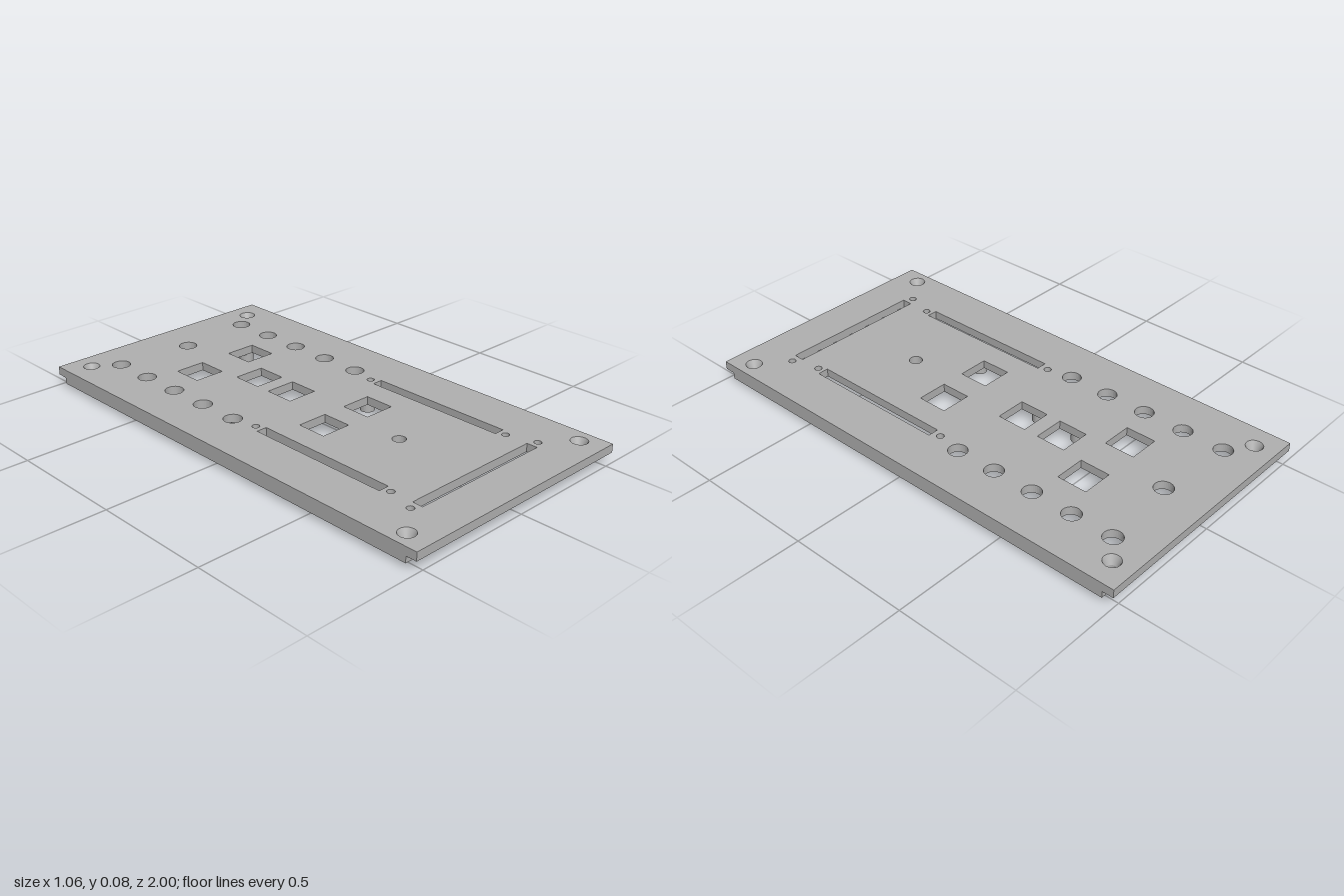
import * as THREE from 'three';

const grey = new THREE.MeshStandardMaterial({ color: 0xb0b0b0 });
grey.name = 'panelGrey';
const greyOpen = grey.clone();
greyOpen.side = THREE.DoubleSide;

const HALF_X = 0.532, TOP = 0.08, UNDER = 0.045, RIM = 0.022;

// Plan outlines use (x, z); z is flipped so the extrusion can be laid flat.
function rect(Type, x, z, w, d) {
  const p = new Type();
  p.moveTo(x - w / 2, -z - d / 2);
  p.lineTo(x + w / 2, -z - d / 2);
  p.lineTo(x + w / 2, -z + d / 2);
  p.lineTo(x - w / 2, -z + d / 2);
  p.closePath();
  return p;
}

function circle(Type, x, z, r) {
  const p = new Type();
  p.absarc(x, -z, r, 0, Math.PI * 2, false);
  return p;
}

// Lay a plan outline flat between two heights
function slab(name, shape, y0, y1) {
  const geo = new THREE.ExtrudeGeometry(shape, { depth: y1 - y0, bevelEnabled: false, curveSegments: 16 });
  geo.rotateX(-Math.PI / 2);
  geo.translate(0, y0, 0);
  const mesh = new THREE.Mesh(geo, grey);
  mesh.name = name;
  return mesh;
}

function ring(name, x, z, outer, inner, y0, y1) {
  const shape = circle(THREE.Shape, x, z, outer);
  shape.holes.push(circle(THREE.Path, x, z, inner));
  return slab(name, shape, y0, y1);
}

export function createModel() {
  const model = new THREE.Group();
  model.name = 'controlPanel';
  const screws = [[-0.43, -0.91], [0.425, -0.91], [-0.468, 0.9], [0.465, 0.9]];

  // Face plate with all its openings
  const plate = rect(THREE.Shape, 0, 0, HALF_X * 2, 2);
  const cutRect = (x, z, w, d) => plate.holes.push(rect(THREE.Path, x, z, w, d));
  const cutCircle = (x, z, r) => plate.holes.push(circle(THREE.Path, x, z, r));

  // Square windows
  [[-0.138, -0.557], [0.137, -0.557], [0, -0.342], [0, -0.15], [-0.118, 0.16], [0.116, 0.16]]
    .forEach(([x, z]) => cutRect(x, z, 0.132, 0.128));

  // Side holes, slider slots and their fixing holes
  for (const s of [-1, 1]) {
    for (let i = 0; i < 5; i++) cutCircle(s * 0.33, -0.84 + i * 0.18, 0.038);
    cutRect(s * 0.312, 0.338, 0.045, 0.625);
    cutCircle(s * 0.31, -0.01, 0.015);
    cutCircle(s * 0.31, 0.682, 0.015);
    cutCircle(s * 0.345, 0.803, 0.015);
  }
  cutRect(0, 0.803, 0.62, 0.045);
  cutCircle(0, -0.81, 0.038);
  cutCircle(0, 0.434, 0.027);
  screws.forEach(([x, z]) => cutCircle(x, z, 0.034));
  model.add(slab('facePlate', plate, UNDER, TOP));

  // Rails and end walls under the plate
  for (const s of [-1, 1]) {
    model.add(slab('sideRail', rect(THREE.Shape, s * 0.517, 0, 0.03, 1.91), 0.018, UNDER));
    model.add(slab('endWall', rect(THREE.Shape, 0, s * 0.941, 1.004, 0.028), RIM, UNDER));
  }

  // Countersunk screw seats with bosses in the corners
  for (const [x, z] of screws) {
    const seat = new THREE.Mesh(
      new THREE.CylinderGeometry(0.034, 0.017, TOP - UNDER, 32, 1, true), greyOpen);
    seat.name = 'screwSeat';
    seat.position.set(x, (TOP + UNDER) / 2, z);
    model.add(seat, ring('screwBoss', x, z, 0.045, 0.017, RIM - 0.001, UNDER));
  }

  // Hollow standoffs on the underside
  [[0.2, -0.657], [-0.2, -0.657], [-0.108, -0.338], [0.22, -0.037], [0.22, 0.06],
    [-0.108, -0.143], [-0.235, -0.2], [0.217, 0.273], [-0.205, 0.06], [-0.21, 0.273]]
    .forEach(([x, z]) => model.add(ring('standoff', x, z, 0.03, 0.014, 0, UNDER)));

  return model;
}
